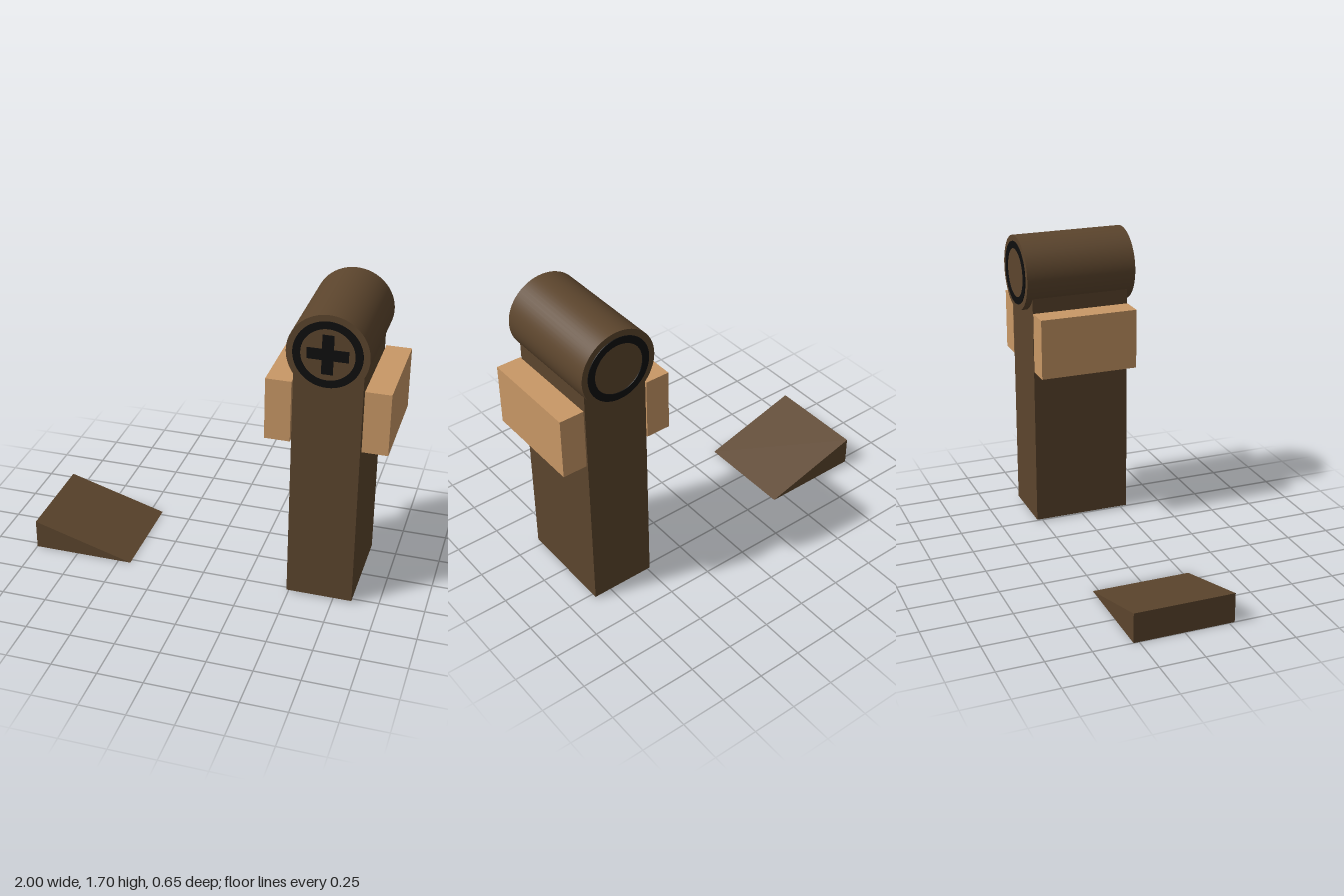
import * as THREE from 'three';

const brown = new THREE.MeshStandardMaterial({ color: 0x5c452d });
brown.name = 'dark wood brown';
const tan = new THREE.MeshStandardMaterial({ color: 0xc99866 });
tan.name = 'light wood tan';
const black = new THREE.MeshStandardMaterial({ color: 0x0e0e0e });
black.name = 'black';

const POST_X = 0.672, HEAD_Y = 1.486, HEAD_R = 0.214, HEAD_HALF = 0.323;

export function createModel() {
  const model = new THREE.Group();
  model.name = 'postAndWedge';

  const add = (parent, name, geometry, material, x = 0, y = 0, z = 0) => {
    const mesh = new THREE.Mesh(geometry, material);
    mesh.name = name;
    mesh.position.set(x, y, z);
    parent.add(mesh);
    return mesh;
  };
  const plate = (shape) => new THREE.ExtrudeGeometry(shape, { depth: 0.004, bevelEnabled: false, curveSegments: 48 });

  // Upright post, its top hidden inside the head
  add(model, 'post', new THREE.BoxGeometry(0.364, 1.4, 0.57), brown, POST_X, 0.71, 0);

  // Side blocks
  for (const side of [-1, 1]) {
    add(model, side > 0 ? 'leftBlock' : 'rightBlock',
      new THREE.BoxGeometry(0.138, 0.346, 0.57), tan, POST_X + side * 0.258, 1.118, 0);
  }

  // Round head lying along z
  const head = new THREE.Group();
  head.name = 'head';
  head.position.set(POST_X, HEAD_Y, 0);
  model.add(head);
  const barrel = new THREE.CylinderGeometry(HEAD_R, HEAD_R, HEAD_HALF * 2, 64);
  barrel.rotateX(Math.PI / 2);
  add(head, 'barrel', barrel, brown);

  // Black ring on both ends
  const ring = new THREE.Shape().absarc(0, 0, 0.18, 0, Math.PI * 2, false);
  ring.holes.push(new THREE.Path().absarc(0, 0, 0.14, 0, Math.PI * 2, true));
  add(head, 'frontRing', plate(ring), black, 0, 0, HEAD_HALF);
  add(head, 'backRing', plate(ring), black, 0, 0, -HEAD_HALF - 0.004);

  // Plus mark on the front end
  const a = 0.107, w = 0.03;
  const plus = new THREE.Shape([
    [w, -a], [w, -w], [a, -w], [a, w], [w, w], [w, a],
    [-w, a], [-w, w], [-a, w], [-a, -w], [-w, -w], [-w, -a],
  ].map(([x, y]) => new THREE.Vector2(x, y)));
  add(head, 'plusMark', plate(plus), black, 0, 0, HEAD_HALF);

  // Separate wedge on the ground, tall edge outward
  const profile = new THREE.Shape();
  profile.moveTo(-1, 0);
  profile.lineTo(-0.428, 0);
  profile.lineTo(-1, 0.168);
  profile.closePath();
  add(model, 'wedge', new THREE.ExtrudeGeometry(profile, { depth: 0.562, bevelEnabled: false }), brown, 0, 0, -0.281);

  return model;
}
